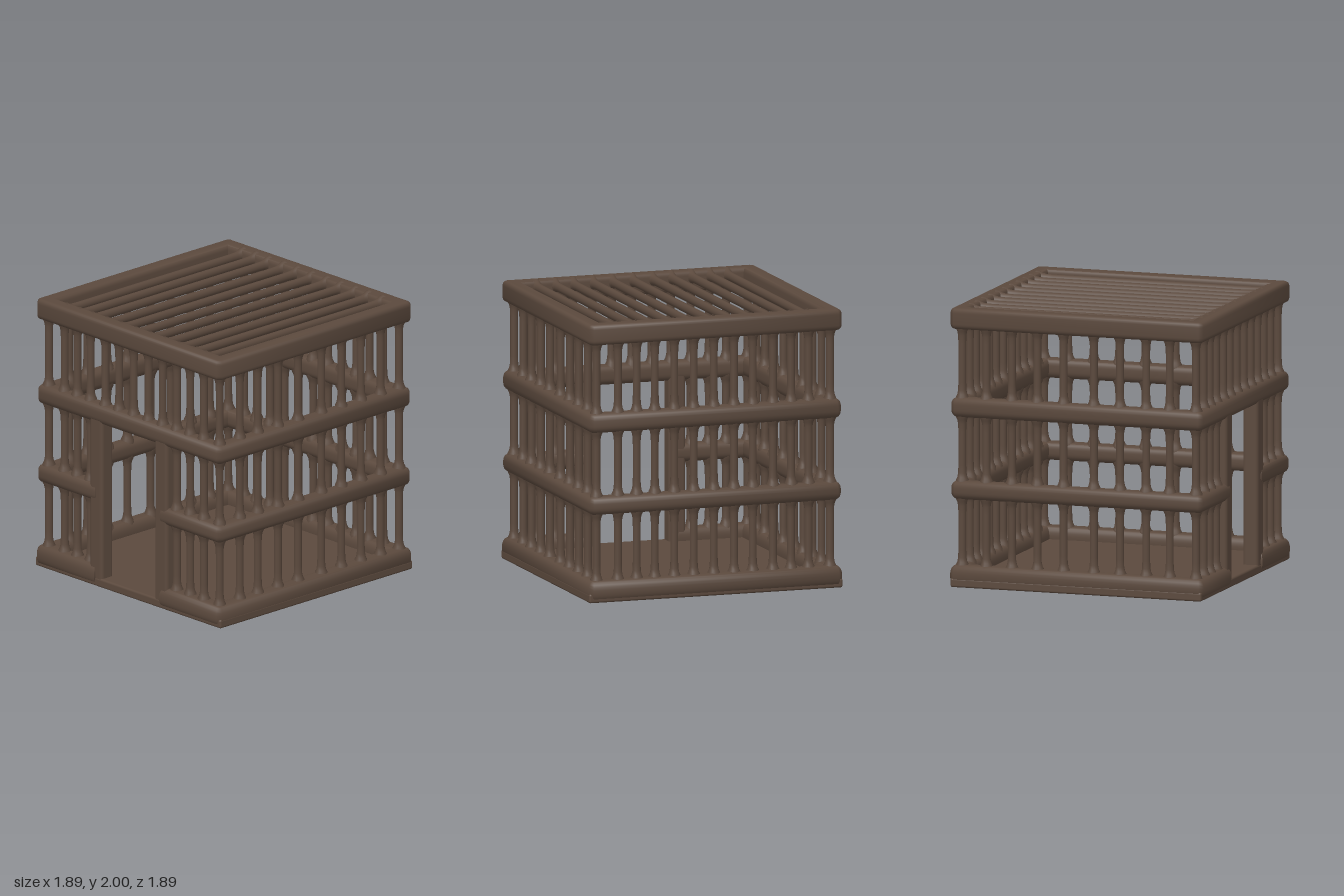
import * as THREE from 'three';
import { toCreasedNormals } from 'three/addons/utils/BufferGeometryUtils.js';
import { RoundedBoxGeometry } from 'three/addons/geometries/RoundedBoxGeometry.js';

const WALL = 0.87;     // distance of the bar rows from the centre
const DOOR = 0.33;     // distance of the door posts from the centre
const FRONT_X = [-0.87, -0.71, -0.58, -0.445, -0.295, -0.155, -0.005, 0.145, 0.29, 0.435, 0.57, 0.71, 0.87];
const SIDE_Z = [-0.69, -0.5, -0.31, -0.115, 0.11, 0.305, 0.5, 0.675];
const TIERS = [[0.13, 0.65], [0.735, 1.235], [1.325, 1.865]];

// Square rail running round the cage; with a doorway it stops at the door posts
function railGeometry(outer, inner, y0, y1, bevelSize, bevelY, doorway) {
  const o = outer, i = inner, d = DOOR, r = 0.03;
  const shape = new THREE.Shape();
  if (doorway) {
    shape.setFromPoints([
      [d, -o], [o - r, -o], [o, -o + r], [o, o - r], [o - r, o], [-o + r, o], [-o, o - r], [-o, -o + r], [-o + r, -o],
      [-d, -o], [-d, -i], [-i, -i], [-i, i], [i, i], [i, -i], [d, -i],
    ].map(([x, y]) => new THREE.Vector2(x, y)));
  } else {
    shape.setFromPoints([
      [o - r, -o], [o, -o + r], [o, o - r], [o - r, o], [-o + r, o], [-o, o - r], [-o, -o + r], [-o + r, -o],
    ].map(([x, y]) => new THREE.Vector2(x, y)));
    shape.holes.push(new THREE.Path([[-i, -i], [-i, i], [i, i], [i, -i]].map(([x, y]) => new THREE.Vector2(x, y))));
  }
  const geometry = new THREE.ExtrudeGeometry(shape, {
    depth: y1 - y0 - 2 * bevelY, bevelEnabled: true, bevelThickness: bevelY,
    bevelSize, bevelOffset: -bevelSize, bevelSegments: 5,
  });
  geometry.rotateX(-Math.PI / 2).translate(0, y0 + bevelY, 0);
  return toCreasedNormals(geometry, 0.9);
}

// Round bar that flares where it melts into the rails
function barGeometry(length) {
  const half = [[0.05, 0], [0.046, 0.025], [0.036, 0.045], [0.03, 0.075], [0.028, 0.13]];
  const points = [
    ...half.map(([r, y]) => new THREE.Vector2(r, y)),
    ...half.slice().reverse().map(([r, y]) => new THREE.Vector2(r, length - y)),
  ];
  return new THREE.LatheGeometry(points, 12);
}

export function createModel() {
  const cage = new THREE.Group();
  cage.name = 'cage';
  const wood = new THREE.MeshStandardMaterial({ color: 0x5b493d });
  wood.name = 'dark brown wood';

  const add = (name, geometry, x = 0, y = 0, z = 0, parent = cage) => {
    const mesh = new THREE.Mesh(geometry, wood);
    mesh.name = name;
    mesh.position.set(x, y, z);
    parent.add(mesh);
    return mesh;
  };

  // Floor and rails
  add('floor', new RoundedBoxGeometry(1.89, 0.065, 1.87, 3, 0.015), 0, 0.0325, 0);
  add('baseRail', railGeometry(0.945, 0.81, 0.005, 0.155, 0.04, 0.065, true));
  add('lowerRail', railGeometry(0.938, 0.815, 0.625, 0.755, 0.04, 0.05, true));
  add('upperRail', railGeometry(0.938, 0.815, 1.21, 1.35, 0.04, 0.05, false));
  add('topRail', railGeometry(0.942, 0.825, 1.84, 1.988, 0.025, 0.035, false));

  // Door posts
  for (const side of [-1, 1]) {
    add(side > 0 ? 'leftDoorPost' : 'rightDoorPost',
      new RoundedBoxGeometry(0.128, 1.26, 0.115, 3, 0.025), side * DOOR, 0.64, 0.875);
  }

  // Wall bars, one tier between each pair of rails
  const walls = new THREE.Group();
  walls.name = 'wallBars';
  cage.add(walls);
  TIERS.forEach(([y0, y1], tier) => {
    const bar = barGeometry(y1 - y0);
    for (const x of FRONT_X) {
      add('backBar', bar, x, y0, -WALL, walls);
      if (tier === 2 || Math.abs(x) > 0.4) add('frontBar', bar, x, y0, WALL, walls);
    }
    for (const z of SIDE_Z) {
      add('leftBar', bar, WALL, y0, z, walls);
      add('rightBar', bar, -WALL, y0, z, walls);
    }
  });

  // Roof bars, running front to back
  const roof = new THREE.Group();
  roof.name = 'roofBars';
  cage.add(roof);
  const roofBar = barGeometry(1.74).rotateX(Math.PI / 2).translate(0, 0, -0.87);
  for (const x of FRONT_X.slice(1, -1)) {
    const bar = add('roofBar', roofBar, x, 1.955, 0, roof);
    bar.scale.set(0.95, 1.15, 1);
    bar.position.y = 1.94;
  }
  return cage;
}
